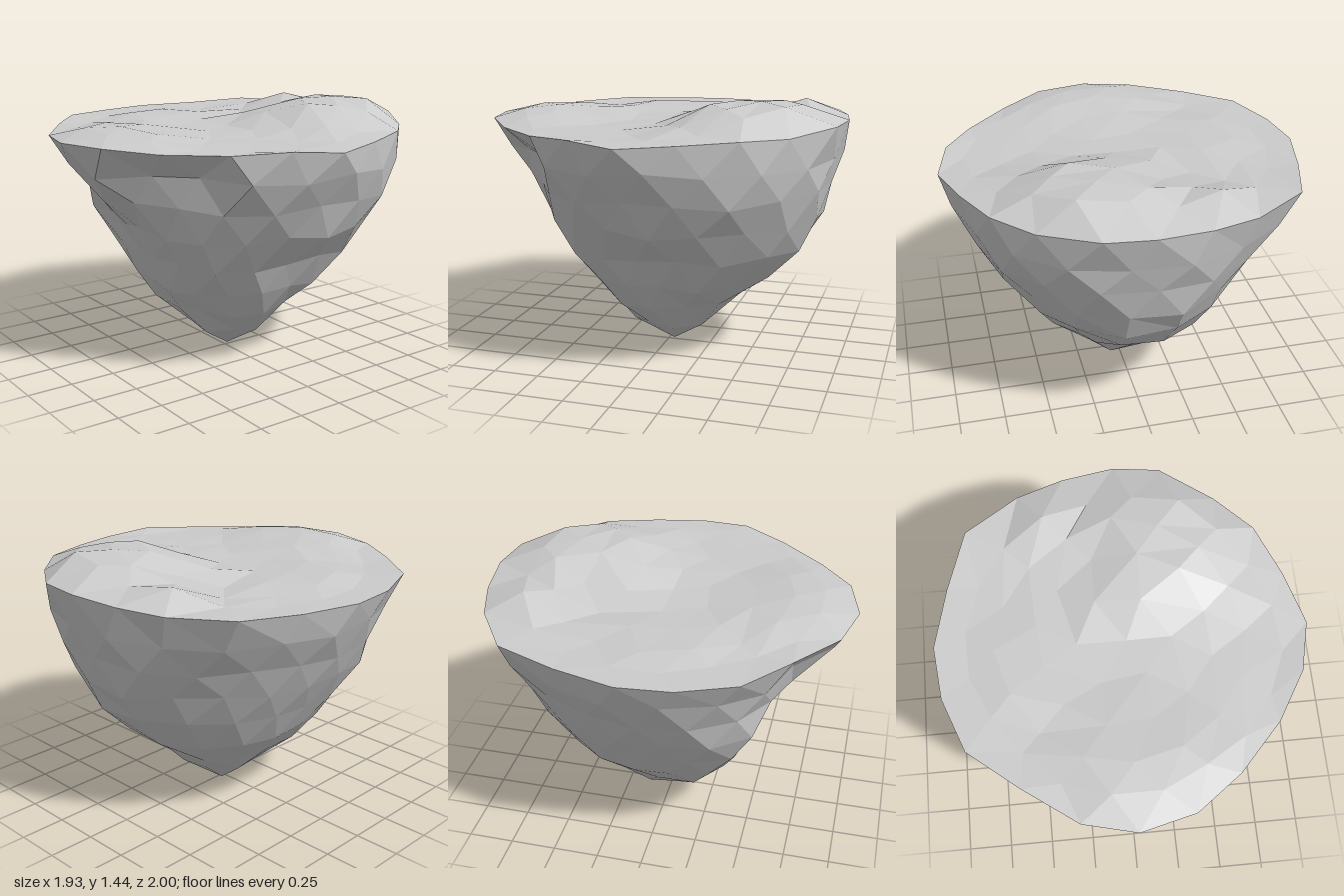
import * as THREE from 'three';

// outline of the rim, x and z, from the left side round by the front
const RIM = [
  [0.965, -0.02], [0.9, 0.25], [0.75, 0.5], [0.52, 0.75], [0.28, 0.93],
  [-0.01, 1.0], [-0.29, 0.93], [-0.57, 0.73], [-0.83, 0.52], [-0.94, 0.23],
  [-0.97, -0.05], [-0.89, -0.37], [-0.78, -0.69], [-0.49, -0.88], [-0.24, -0.96],
  [0.04, -1.0], [0.29, -0.97], [0.57, -0.78], [0.76, -0.58], [0.88, -0.3],
];

// radii of the underside at each level, for a few headings in degrees
const LEVELS = [1.14, 0.98, 0.81, 0.63, 0.45, 0.31, 0.15];
const COUNTS = [20, 20, 20, 18, 16, 12, 8];
const PROFILES = [
  [0, [0.91, 0.82, 0.73, 0.56, 0.48, 0.38, 0.2]],
  [28, [0.9, 0.8, 0.72, 0.6, 0.48, 0.36, 0.18]],
  [42, [0.77, 0.75, 0.71, 0.61, 0.47, 0.35, 0.18]],
  [58, [0.72, 0.71, 0.68, 0.58, 0.45, 0.34, 0.18]],
  [76, [0.9, 0.78, 0.64, 0.54, 0.44, 0.34, 0.2]],
  [97, [0.93, 0.77, 0.6, 0.52, 0.43, 0.33, 0.2]],
  [115, [0.8, 0.71, 0.62, 0.53, 0.45, 0.36, 0.2]],
  [135, [0.85, 0.81, 0.78, 0.69, 0.57, 0.48, 0.21]],
  [155, [0.9, 0.84, 0.77, 0.66, 0.53, 0.4, 0.22]],
  [180, [0.9, 0.81, 0.73, 0.62, 0.48, 0.35, 0.22]],
  [225, [0.95, 0.86, 0.77, 0.67, 0.56, 0.4, 0.23]],
  [258, [0.96, 0.92, 0.87, 0.77, 0.6, 0.43, 0.24]],
  [285, [0.96, 0.93, 0.88, 0.79, 0.61, 0.43, 0.25]],
  [315, [0.94, 0.89, 0.81, 0.69, 0.52, 0.37, 0.2]],
  [360, [0.91, 0.82, 0.73, 0.56, 0.48, 0.38, 0.2]],
];

function radiusAt(turn, level) {
  const deg = turn * 360;
  let k = 0;
  while (PROFILES[k + 1][0] < deg) k++;
  const [a0, r0] = PROFILES[k], [a1, r1] = PROFILES[k + 1];
  return THREE.MathUtils.lerp(r0[level], r1[level], (deg - a0) / (a1 - a0));
}

// height of the ground: raised shelf at the back, small mounds elsewhere
const plain = (z) => 1.293 + 0.035 * Math.max(0, -z) ** 2;
function ground(x, z) {
  const mound = (h, cx, cz, w, d) => h * Math.exp(-(((x - cx) / w) ** 4) - ((z - cz) / d) ** 4);
  return plain(z) + mound(0.13, 0.24, -0.5, 0.37, 0.36) + mound(0.075, -0.36, -0.74, 0.2, 0.2)
    + mound(0.055, 0.02, 0.64, 0.35, 0.22) + mound(0.025, -0.5, 0.1, 0.25, 0.3);
}

// stitches neighbouring rings, which may have different numbers of points
function stitch(rings) {
  const pos = [];
  const tri = (a, b, c) => pos.push(...a, ...b, ...c);
  for (let k = 0; k + 1 < rings.length; k++) {
    const A = rings[k], B = rings[k + 1];
    const n = A.pts.length, m = B.pts.length;
    let i = 0, j = 0;
    while (i < n || j < m) {
      const a = A.pts[i % n], b = B.pts[j % m];
      const nextA = (i + 1 + A.shift) / n, nextB = (j + 1 + B.shift) / m;
      if (j >= m || (i < n && nextA < nextB)) {
        if (n > 1) tri(a, A.pts[(i + 1) % n], b);
        i++;
      } else {
        if (m > 1) tri(b, a, B.pts[(j + 1) % m]);
        j++;
      }
    }
  }
  const geo = new THREE.BufferGeometry();
  geo.setAttribute('position', new THREE.Float32BufferAttribute(pos, 3));
  geo.computeVertexNormals();
  return geo;
}

export function createModel() {
  let seed = 7;
  const jitter = (s) => {
    seed = (seed * 16807) % 2147483647;
    return (seed / 2147483647 - 0.5) * 2 * s;
  };
  const material = new THREE.MeshStandardMaterial({ color: 0xcccccc, flatShading: true });
  const group = new THREE.Group();
  group.name = 'floatingIsland';
  const add = (name, rings) => {
    const mesh = new THREE.Mesh(stitch(rings), material);
    mesh.name = name;
    group.add(mesh);
  };

  // shared rim
  const rim = { shift: 0, pts: RIM.map(([x, z]) => [x, plain(z) + jitter(0.012), z]) };

  // ground: rings shrinking from the rim to the middle
  const groundRings = [{ shift: 0, pts: [[0.02, ground(0.02, 0), 0]] }];
  [[6, 0.23], [12, 0.45], [16, 0.64], [20, 0.8]].forEach(([n, radius], k) => {
    const shift = k % 2 ? 0.5 : 0;
    const pts = [];
    for (let i = 0; i < n; i++) {
      const t = (i + shift) / n * Math.PI * 2;
      const r = radius + jitter(0.025);
      const x = Math.cos(t) * r, z = Math.sin(t) * r;
      pts.push([x, ground(x, z) + jitter(0.008), z]);
    }
    groundRings.push({ shift, pts });
  });
  add('ground', [...groundRings, rim]);

  // rocky underside tapering to a point
  const rockRings = LEVELS.map((y, level) => {
    const n = COUNTS[level], shift = level % 2 ? 0 : 0.5;
    const pts = [];
    for (let i = 0; i < n; i++) {
      const turn = (i + shift) / n;
      const r = radiusAt(turn, level) + jitter(0.012);
      const t = turn * Math.PI * 2;
      pts.push([Math.cos(t) * r, y + jitter(0.02), Math.sin(t) * r]);
    }
    return { shift, pts };
  });
  add('rock', [rim, ...rockRings, { shift: 0, pts: [[-0.02, 0, -0.03]] }]);
  return group;
}
